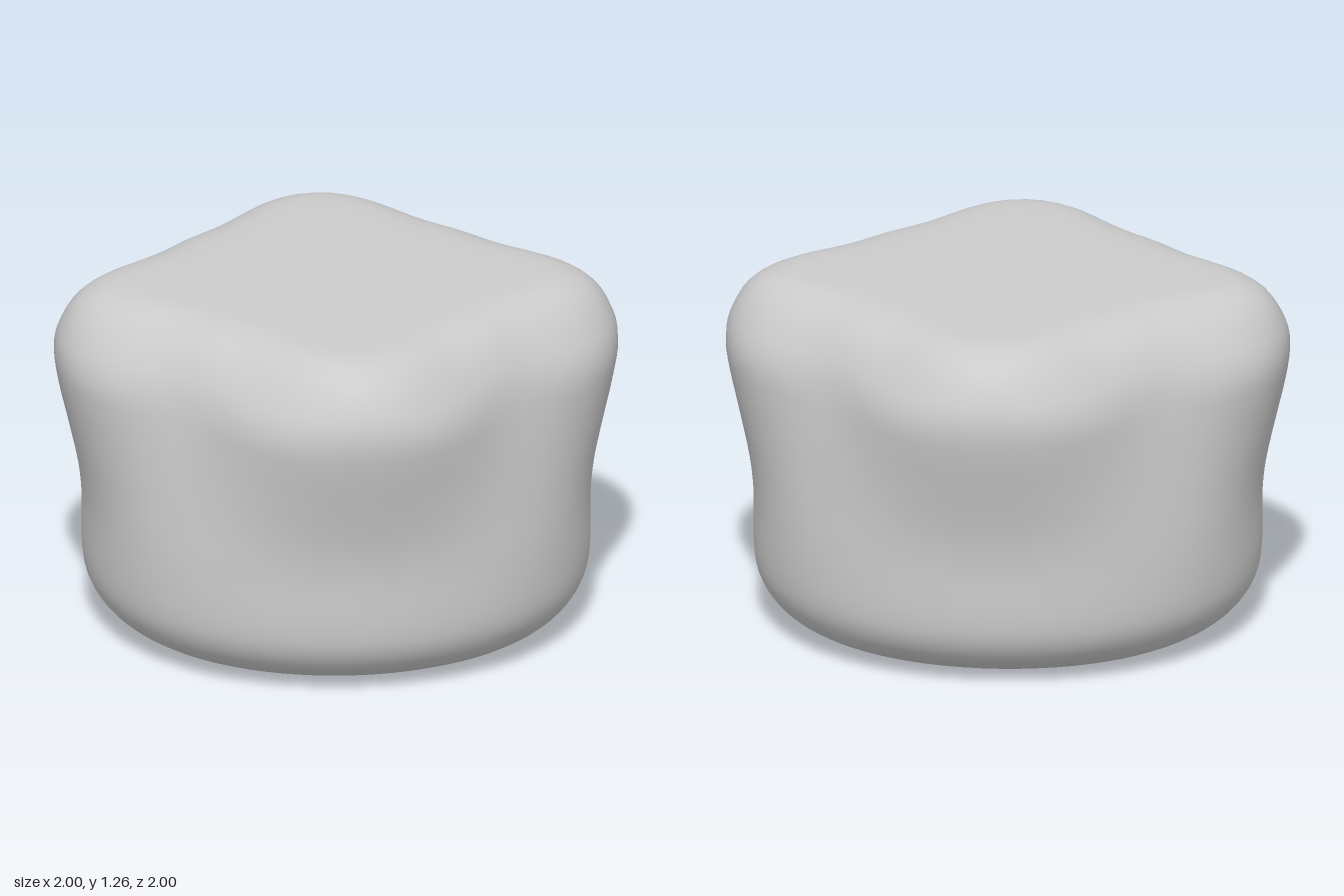
import * as THREE from 'three';
import { mergeVertices } from 'three/addons/utils/BufferGeometryUtils.js';

// Outline sections [radius, height] from the underside to the top
const cornerSection = [
  [0, 0], [0.35, 0], [0.62, 0.005], [0.74, 0.03], [0.83, 0.085], [0.885, 0.17], [0.9, 0.28], [0.9, 0.44],
  [0.915, 0.58], [0.95, 0.74], [0.985, 0.89], [1, 1.0], [0.985, 1.09], [0.93, 1.185], [0.84, 1.24],
  [0.7, 1.26], [0.35, 1.26], [0, 1.26],
];
const sideSection = [
  [0, 0], [0.35, 0], [0.64, 0.005], [0.75, 0.03], [0.84, 0.085], [0.895, 0.17], [0.91, 0.28], [0.905, 0.44],
  [0.89, 0.58], [0.868, 0.74], [0.845, 0.89], [0.825, 1.0], [0.795, 1.09], [0.735, 1.18], [0.655, 1.235],
  [0.53, 1.26], [0.265, 1.26], [0, 1.26],
];

const smooth = (section) =>
  new THREE.SplineCurve(section.map(([r, y]) => new THREE.Vector2(r, y)))
    .getPoints((section.length - 1) * 3)
    .map((p) => new THREE.Vector2(Math.max(p.x, 0), THREE.MathUtils.clamp(p.y, 0, 1.26)));

export function createModel() {
  const group = new THREE.Group();
  const corner = smooth(cornerSection);
  const side = smooth(sideSection);

  // Round base blending upwards into a diamond crown with blunt corners and a straighter-edged flat top
  let geometry = new THREE.LatheGeometry(corner, 96);
  const pos = geometry.attributes.position;
  for (let i = 0; i < pos.count; i++) {
    const j = i % corner.length;
    const angle = (Math.floor(i / corner.length) / 96) * Math.PI * 2;
    const c = (1 + Math.cos(4 * angle)) / 2;
    const blunt = 1 - Math.pow(1 - c, 1.2);
    const sharp = Math.pow(c, 1.8);
    const w = THREE.MathUtils.lerp(blunt, sharp, THREE.MathUtils.smoothstep(corner[j].y, 0.95, 1.26));
    const r = THREE.MathUtils.lerp(side[j].x, corner[j].x, w);
    const y = THREE.MathUtils.lerp(side[j].y, corner[j].y, w);
    pos.setXYZ(i, r * Math.sin(angle), y, r * Math.cos(angle));
  }

  // Weld the seam so the shading is smooth all round
  geometry.deleteAttribute('uv');
  geometry.deleteAttribute('normal');
  geometry = mergeVertices(geometry, 1e-5);
  geometry.computeVertexNormals();

  const body = new THREE.Mesh(geometry, new THREE.MeshStandardMaterial({ color: 0xcccccc }));
  body.name = 'body';
  group.add(body);
  return group;
}
